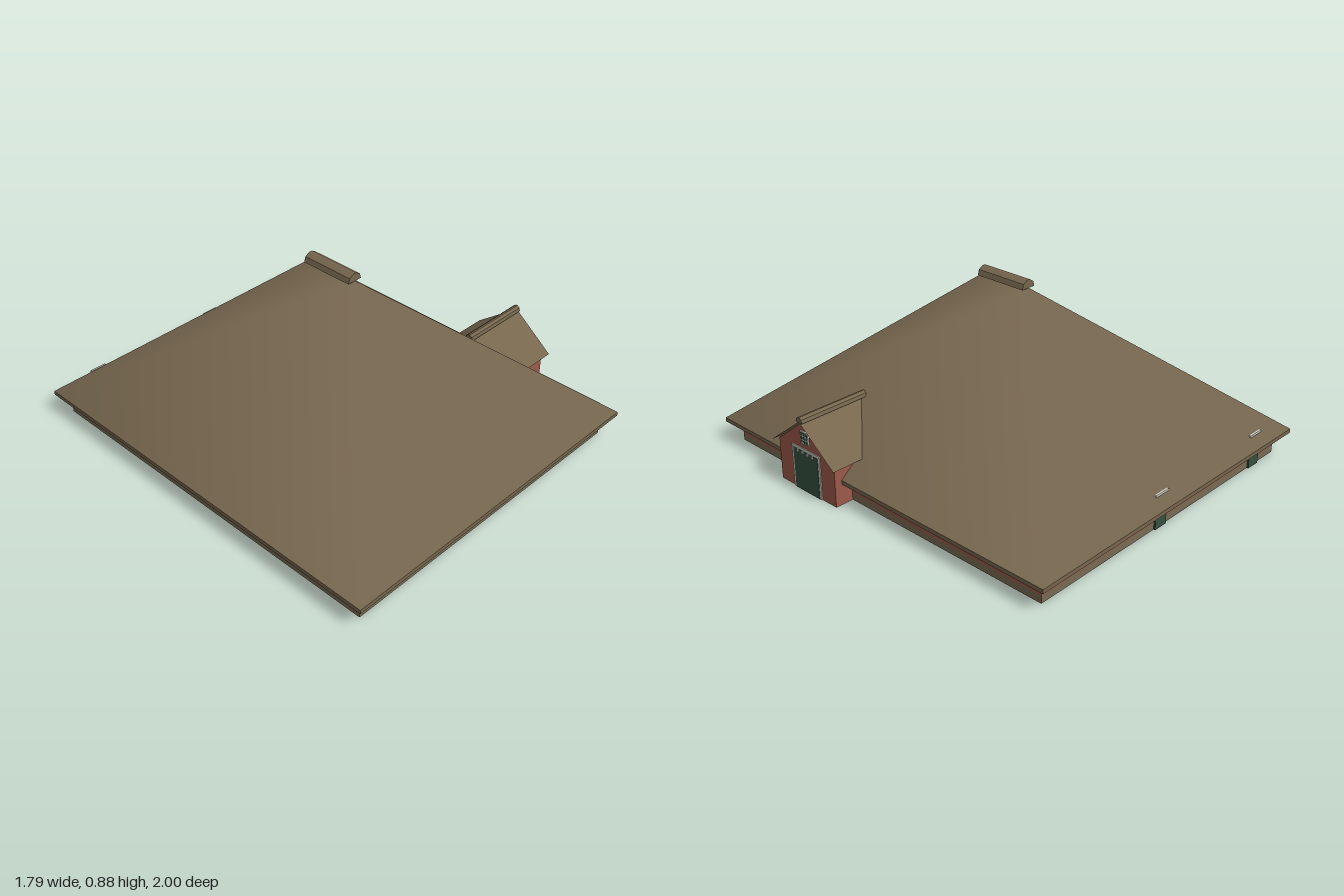
import * as THREE from 'three';

const CX = -0.035;            // middle of the main building
const HX = 0.81, HZ = 0.945;  // half sizes of the walls

function material(name, color, side = THREE.DoubleSide) {
  const m = new THREE.MeshStandardMaterial({ color, side });
  m.name = name;
  return m;
}

export function createModel() {
  const thatch = material('thatch', 0x76664e);
  const brick = material('brick', 0x9c5a4a);
  const plinthMat = material('plinth', 0x766a52);
  const green = material('greenPaint', 0x36513f);
  const white = material('whitePaint', 0xc9cbbf);
  const model = new THREE.Group();
  model.name = 'farmhouse';

  const add = (name, geometry, mat, parent = model) => {
    const mesh = new THREE.Mesh(geometry, mat);
    mesh.name = name;
    parent.add(mesh);
    return mesh;
  };
  const surface = (points, index) => {
    const g = new THREE.BufferGeometry();
    g.setAttribute('position', new THREE.Float32BufferAttribute(points.flat(), 3));
    g.setIndex(index);
    g.computeVertexNormals();
    return g;
  };
  // flat plate in the local xy plane, y measured to its bottom edge
  const plate = (name, x, y, w, h, z, depth, mat, parent) => {
    const mesh = add(name, new THREE.BoxGeometry(w, h, depth), mat, parent);
    mesh.position.set(x, y + h / 2, z);
    return mesh;
  };

  // Main hip roof: outer skin, lower skin and fascia
  const eave = [[-0.865, 1], [0.865, 1], [0.865, -1], [-0.865, -1]];
  const roofPoints = (drop) => [
    ...eave.map(([x, z]) => [CX + x, 0.12 - drop, z]),
    [CX, 0.838 - drop, 0.135], [CX, 0.838 - drop, -0.135],
  ];
  const slopes = [0, 1, 4, 1, 2, 5, 1, 5, 4, 2, 3, 5, 3, 0, 4, 3, 4, 5];
  add('mainRoof', surface(roofPoints(0), slopes), thatch);
  add('roofUnderside', surface(roofPoints(0.02), slopes.slice().reverse()), thatch);
  eave.forEach(([x, z], i) => {
    const [x2, z2] = eave[(i + 1) % 4];
    add('eaveEdge', surface([
      [CX + x, 0.1, z], [CX + x2, 0.1, z2], [CX + x2, 0.12, z2], [CX + x, 0.12, z],
    ], [0, 1, 2, 0, 2, 3]), thatch);
  });

  // Ridge caps: the same rounded section along each ridge
  const ridgeCap = (name, halfWidth, height, length) => {
    const s = new THREE.Shape();
    s.moveTo(-halfWidth, 0);
    s.lineTo(-halfWidth * 0.8, height * 0.65);
    s.lineTo(-halfWidth * 0.2, height);
    s.lineTo(halfWidth * 0.2, height);
    s.lineTo(halfWidth * 0.8, height * 0.65);
    s.lineTo(halfWidth, 0);
    return add(name, new THREE.ExtrudeGeometry(s, { depth: length, bevelEnabled: false }), thatch);
  };
  ridgeCap('mainRidgeCap', 0.039, 0.039, 0.27).position.set(CX, 0.836, -0.135);

  // A window with small panes, hung on a wall group
  const addWindow = (parent, x, y, w, h, cols, rows) => {
    const win = new THREE.Group();
    win.name = 'window';
    win.position.set(x, y, 0);
    parent.add(win);
    plate('windowFrame', 0, 0, w, h, 0.003, 0.006, white, win);
    const gap = 0.006;
    const pw = (w - gap * (cols + 1)) / cols, ph = (h - gap * (rows + 1)) / rows;
    for (let c = 0; c < cols; c++) for (let r = 0; r < rows; r++) {
      plate('pane', -w / 2 + gap + pw / 2 + c * (pw + gap), gap + r * (ph + gap),
        pw, ph, 0.006, 0.003, green, win);
    }
  };

  // Low walls: each side is a group facing outwards, open inside
  const addWall = (name, width, x, z, angle) => {
    const wall = new THREE.Group();
    wall.name = name;
    wall.position.set(x, 0, z);
    wall.rotation.y = angle;
    model.add(wall);
    add('brickWall', new THREE.PlaneGeometry(width, 0.12), brick, wall).position.y = 0.095;
    add('plinth', new THREE.PlaneGeometry(width, 0.035), plinthMat, wall).position.y = 0.0175;
    return wall;
  };
  const front = addWall('frontWall', HX * 2, CX, HZ, 0);
  const back = addWall('backWall', HX * 2, CX, -HZ, Math.PI);
  const porchSide = addWall('porchSideWall', HZ * 2, CX + HX, 0, Math.PI / 2);
  const farSide = addWall('farSideWall', HZ * 2, CX - HX, 0, -Math.PI / 2);

  for (const x of [-0.505, -0.24, 0.165, 0.435]) addWindow(front, x - CX, 0.075, 0.06, 0.065, 4, 4);
  for (const x of [-0.51, -0.25, 0.29, 0.55]) addWindow(back, CX - x, 0.078, 0.055, 0.065, 2, 2);
  for (const z of [0.8, 0.61, -0.1, -0.295, -0.485, -0.675]) addWindow(porchSide, -z, 0.08, 0.055, 0.062, 2, 2);
  for (const z of [-0.6, -0.2, 0.2, 0.6]) addWindow(farSide, z, 0.08, 0.055, 0.062, 2, 2);

  // Back doors, their heads just reaching through the thatch
  for (const x of [0.03, -0.675]) {
    plate('backDoor', CX - x, 0, 0.075, 0.16, 0.004, 0.008, green, back);
    plate('backDoorHead', CX - x, 0.16, 0.085, 0.01, 0.004, 0.009, white, back);
  }

  // Porch: gable wall, side walls, roof
  const PZ = 0.341, PX = 0.867, PW = 0.187;
  const porch = new THREE.Group();
  porch.name = 'porchFront';
  porch.position.set(PX, 0, PZ);
  porch.rotation.y = Math.PI / 2;
  model.add(porch);
  const gable = new THREE.Shape();
  gable.moveTo(-PW, 0);
  gable.lineTo(PW, 0);
  gable.lineTo(PW, 0.205);
  gable.lineTo(0, 0.354);
  gable.lineTo(-PW, 0.205);
  add('gableWall', new THREE.ShapeGeometry(gable), brick, porch);

  const side = new THREE.Shape();
  side.moveTo(0.775, 0);
  side.lineTo(PX, 0);
  side.lineTo(PX, 0.21);
  side.lineTo(0.726, 0.21);
  side.lineTo(0.775, 0.165);
  for (const s of [-1, 1]) {
    add('porchSide', new THREE.ShapeGeometry(side), brick).position.z = PZ + s * PW;
    const zEave = PZ - 0.003 + s * 0.214;
    add('porchRoof', surface([
      [0.54, 0.361, PZ], [0.737, 0.197, zEave], [0.895, 0.197, zEave], [0.895, 0.361, PZ],
    ], s > 0 ? [0, 1, 2, 0, 2, 3] : [2, 1, 0, 3, 2, 0]), thatch);
  }
  const cap = ridgeCap('porchRidgeCap', 0.021, 0.026, 0.365);
  cap.rotation.y = Math.PI / 2;
  cap.position.set(0.53, 0.358, PZ - 0.002);

  // Large barn door with white surround and scalloped head
  plate('doorSurround', 0, 0, 0.19, 0.215, 0.002, 0.004, white, porch);
  plate('barnDoor', 0, 0, 0.164, 0.202, 0.004, 0.004, green, porch);
  for (const x of [-0.05, -0.017, 0.017, 0.05]) {
    plate('doorHeadTooth', x, 0.19, 0.01, 0.013, 0.006, 0.004, white, porch);
  }
  addWindow(porch, 0, 0.24, 0.055, 0.062, 3, 3);

  return model;
}
